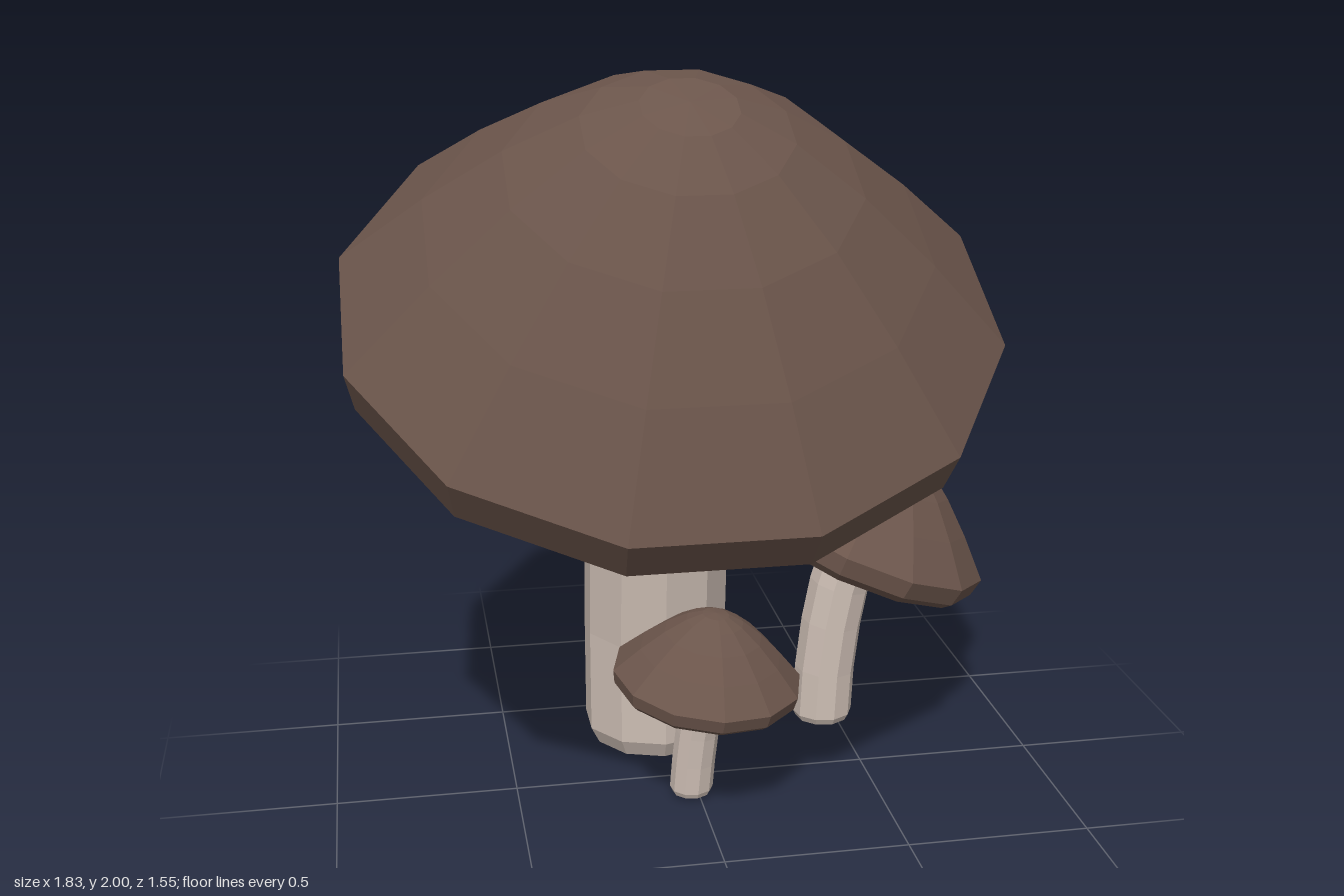
import * as THREE from 'three';

const brown = new THREE.MeshStandardMaterial({ color: 0x6b554b, flatShading: true });
const cream = new THREE.MeshStandardMaterial({ color: 0xcdbeb4, flatShading: true });

const CAP_SIDES = 12;
const STEM_SIDES = 10;

// Cap outline from the underside rim up to the crown: [radius, height]
const capProfile = [
  [0.805, 0], [0.861, 0.051], [0.885, 0.174], [0.66, 0.403],
  [0.455, 0.586], [0.267, 0.72], [0.124, 0.788], [0, 0.802],
].map(([r, y]) => new THREE.Vector2(r, y));

function addMesh(parent, name, geometry, material) {
  const mesh = new THREE.Mesh(geometry, material);
  mesh.name = name;
  parent.add(mesh);
  return mesh;
}

// Stem: a cylinder whose rows follow a path of [height, forward offset],
// each row turned to face along the bend; the foot is slightly narrower
function stemGeometry(path, radius, endTilt) {
  const last = path.length - 1;
  const geometry = new THREE.CylinderGeometry(radius, radius, 1, STEM_SIDES, last);
  const pos = geometry.attributes.position;
  const p = new THREE.Vector3();
  const xAxis = new THREE.Vector3(1, 0, 0);
  for (let i = 0; i < pos.count; i++) {
    p.fromBufferAttribute(pos, i);
    const row = Math.round((p.y + 0.5) * last);
    let tilt = 0;
    if (row === last) tilt = endTilt;
    else if (row > 1) {
      const a = path[row - 1], b = path[row + 1];
      tilt = Math.atan2(b[1] - a[1], b[0] - a[0]);
    }
    const s = row === 0 ? 0.88 : 1;
    p.set(p.x * s, 0, p.z * s).applyAxisAngle(xAxis, tilt);
    pos.setXYZ(i, p.x, p.y + path[row][0], p.z + path[row][1]);
  }
  geometry.computeVertexNormals();
  return geometry;
}

// One mushroom leaning towards its local +z
function mushroom(name, { x, z, yaw, tilt, capScale, capAt, radius, path }) {
  const group = new THREE.Group();
  group.name = name;
  group.position.set(x, 0, z);
  group.rotation.y = yaw;

  // The stem ends just inside the cap
  const inside = 0.04 * capScale;
  const end = [capAt[0] + inside * Math.cos(tilt), capAt[1] + inside * Math.sin(tilt)];
  addMesh(group, 'stem', stemGeometry([...path, end], radius, tilt), cream);

  const cap = new THREE.Group();
  cap.name = 'cap';
  cap.position.set(0, capAt[0], capAt[1]);
  cap.rotation.x = tilt;
  cap.scale.setScalar(capScale);
  group.add(cap);

  const phase = Math.PI / CAP_SIDES;
  addMesh(cap, 'capTop', new THREE.LatheGeometry(capProfile, CAP_SIDES, phase), brown);
  const under = new THREE.CircleGeometry(0.805, CAP_SIDES, phase);
  addMesh(cap, 'capUnderside', under.rotateX(Math.PI / 2), cream);
  return group;
}

export function createModel() {
  const model = new THREE.Group();
  model.name = 'mushroomCluster';
  model.add(
    mushroom('largeMushroom', {
      x: -0.057, z: -0.305, yaw: 0, tilt: 0.485, capScale: 1, capAt: [1.241, 0.244],
      radius: 0.21,
      path: [[0, 0], [0.05, 0], [0.36, 0.004], [0.69, 0.04], [0.87, 0.08], [1.05, 0.15]],
    }),
    mushroom('mediumMushroom', {
      x: 0.458, z: -0.295, yaw: Math.PI / 2 - 0.12, tilt: 0.393, capScale: 0.44, capAt: [0.551, 0.075],
      radius: 0.09,
      path: [[0.01, 0], [0.03, 0], [0.17, 0.006], [0.32, 0.023], [0.44, 0.045]],
    }),
    mushroom('smallMushroom', {
      x: -0.02, z: 0.115, yaw: Math.PI / 4, tilt: 0.15, capScale: 0.295, capAt: [0.333, 0.046],
      radius: 0.06,
      path: [[0.01, 0], [0.025, 0], [0.11, 0.008], [0.2, 0.02], [0.27, 0.033]],
    }),
  );
  return model;
}
